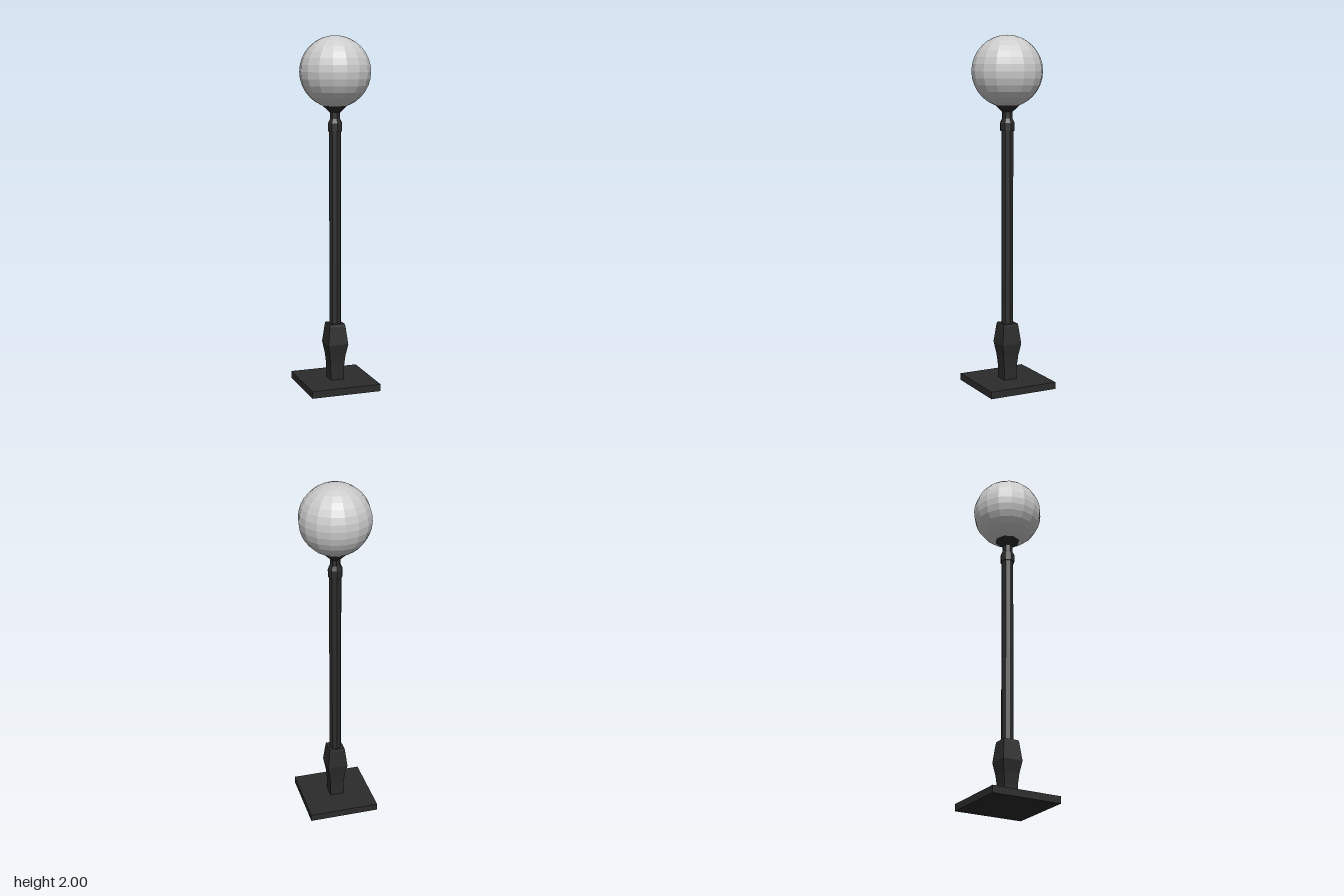
import * as THREE from 'three';

const dark = new THREE.MeshStandardMaterial({ color: 0x2b2b2b, flatShading: true });
const glass = new THREE.MeshStandardMaterial({ color: 0xcccccc, flatShading: true });

// Faceted turned part from [radius, height] pairs, listed bottom to top
function turned(name, profile, sides) {
  const points = profile.map(([r, y]) => new THREE.Vector2(r, y));
  const mesh = new THREE.Mesh(new THREE.LatheGeometry(points, sides), dark);
  mesh.name = name;
  return mesh;
}

export function createModel() {
  const lamp = new THREE.Group();
  lamp.name = 'streetLamp';

  // Square foot, corners on the axes
  lamp.add(turned('basePlate', [[0, 0], [0.288, 0], [0.288, 0.04], [0, 0.04]], 4));

  // Square pedestal with a swelling waist
  lamp.add(turned('pedestal',
    [[0.056, 0.04], [0.058, 0.12], [0.066, 0.18], [0.084, 0.25], [0.066, 0.355], [0.062, 0.367], [0, 0.367]], 4));

  // Eight-sided pole
  lamp.add(turned('pole', [[0.035, 0.36], [0.035, 1.48]], 8));

  // Collar, neck and flared cup under the globe
  lamp.add(turned('collar',
    [[0, 1.47], [0.042, 1.47], [0.042, 1.515], [0.03, 1.54], [0.03, 1.575]], 8));
  lamp.add(turned('globeCup', [[0.03, 1.575], [0.072, 1.612], [0, 1.612]], 8));

  // Faceted globe
  const globe = new THREE.Mesh(new THREE.SphereGeometry(0.2, 16, 16), glass);
  globe.name = 'globe';
  globe.position.y = 1.8;
  lamp.add(globe);

  return lamp;
}
